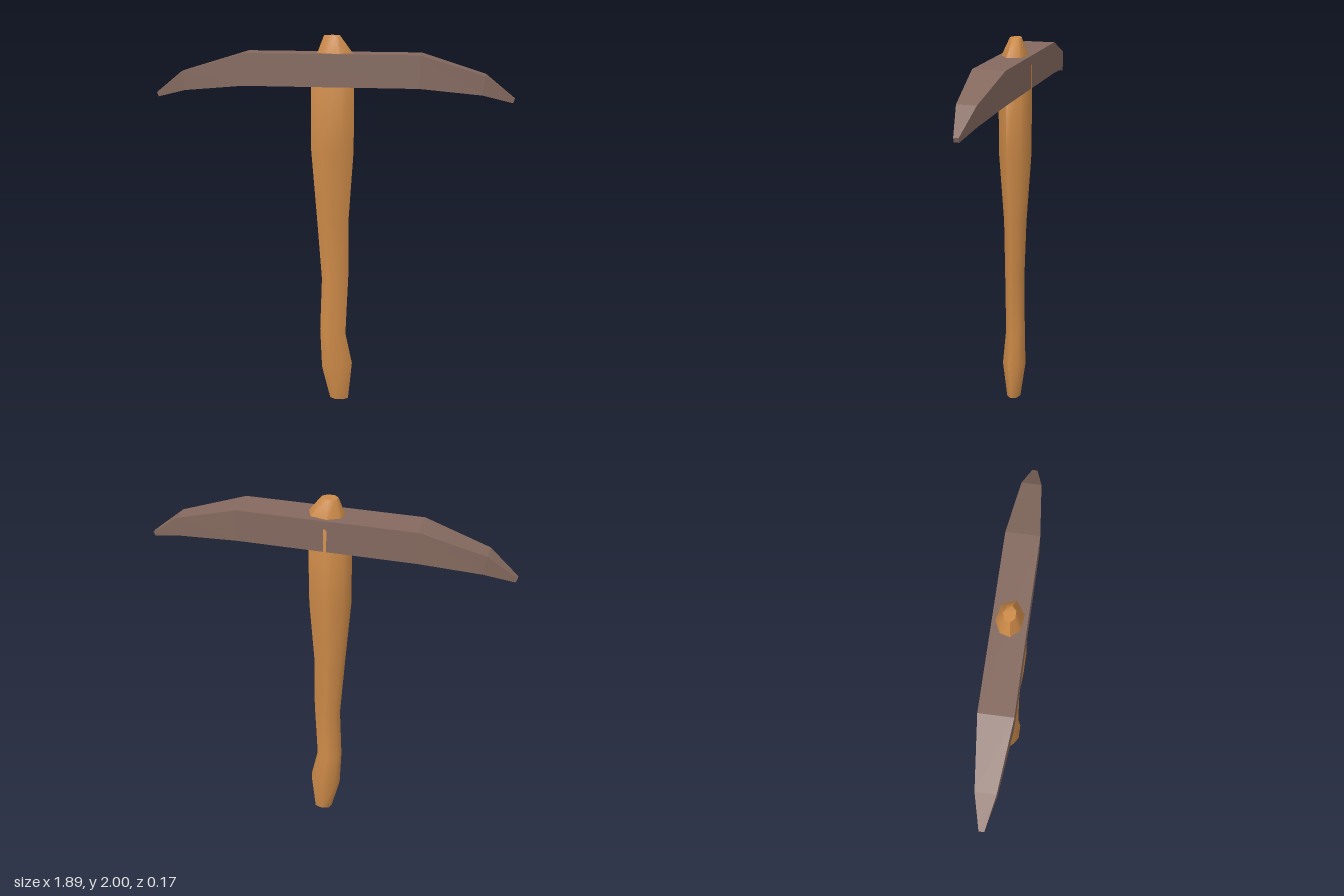
import * as THREE from 'three';
import { toCreasedNormals } from 'three/addons/utils/BufferGeometryUtils.js';

// Skins a list of equal-length rings and closes both ends.
function loft(rings) {
  const n = rings[0].length;
  const last = rings.length - 1;
  const index = [];
  for (let i = 0; i < last; i++) {
    for (let j = 0; j < n; j++) {
      const a = i * n + j;
      const b = i * n + (j + 1) % n;
      index.push(a, b, b + n, a, b + n, a + n);
    }
  }
  for (let j = 1; j < n - 1; j++) {
    index.push(0, j + 1, j);
    index.push(last * n, last * n + j, last * n + j + 1);
  }
  const geometry = new THREE.BufferGeometry();
  geometry.setAttribute('position', new THREE.Float32BufferAttribute(rings.flat(2), 3));
  geometry.setIndex(index);
  return geometry;
}

// Seven-sided crooked shaft; each ring: [y, left x, right x, z radius, tilt]
function createHandle() {
  const sides = 7;
  const profile = [
    [0, -0.01, 0.09, 0.037, 0],
    [0.195, -0.055, 0.112, 0.063, 0.015],
    [0.39, -0.065, 0.075, 0.052, -0.01],
    [0.7, -0.055, 0.09, 0.052, 0.01],
    [1.02, -0.08, 0.09, 0.06, 0],
    [1.4, -0.11, 0.117, 0.086, 0],
    [1.86, -0.11, 0.119, 0.087, 0.04],
    [2, -0.042, 0.042, 0.031, 0],
  ];
  const rings = profile.map(([y, x0, x1, rz, tilt]) =>
    Array.from({ length: sides }, (_, k) => {
      const a = Math.PI + (k / sides) * Math.PI * 2;
      const s = Math.sin(a) / 0.975;
      return [(x0 + x1) / 2 + s * (x1 - x0) / 2, y + tilt * s, Math.cos(a) * rz];
    }));
  const mesh = new THREE.Mesh(
    toCreasedNormals(loft(rings), 1.0),
    new THREE.MeshStandardMaterial({ color: 0xcd8a48 })
  );
  mesh.name = 'handle';
  return mesh;
}

// Drooping double-pointed head; each station: [top x, top y, bottom x, bottom y, half depth]
function createHead() {
  const half = [
    [0.46, 1.91, 0.46, 1.74, 0.084],
    [0.795, 1.808, 0.78, 1.708, 0.05],
    [0.945, 1.69, 0.937, 1.667, 0.013],
  ];
  const mirrored = half.map(([tx, ty, bx, by, d]) => [-tx, ty, -bx, by, d]).reverse();
  const rings = [...mirrored, ...half].map(([tx, ty, bx, by, d]) => [
    [bx, by, -d], [tx, ty, -d], [tx, ty, d], [bx, by, d],
  ]);
  const mesh = new THREE.Mesh(
    loft(rings).toNonIndexed(),
    new THREE.MeshStandardMaterial({ color: 0x84695e, flatShading: true })
  );
  mesh.geometry.computeVertexNormals();
  mesh.name = 'pickHead';
  return mesh;
}

export function createModel() {
  const group = new THREE.Group();
  group.name = 'pickaxe';
  group.add(createHandle(), createHead());
  return group;
}
